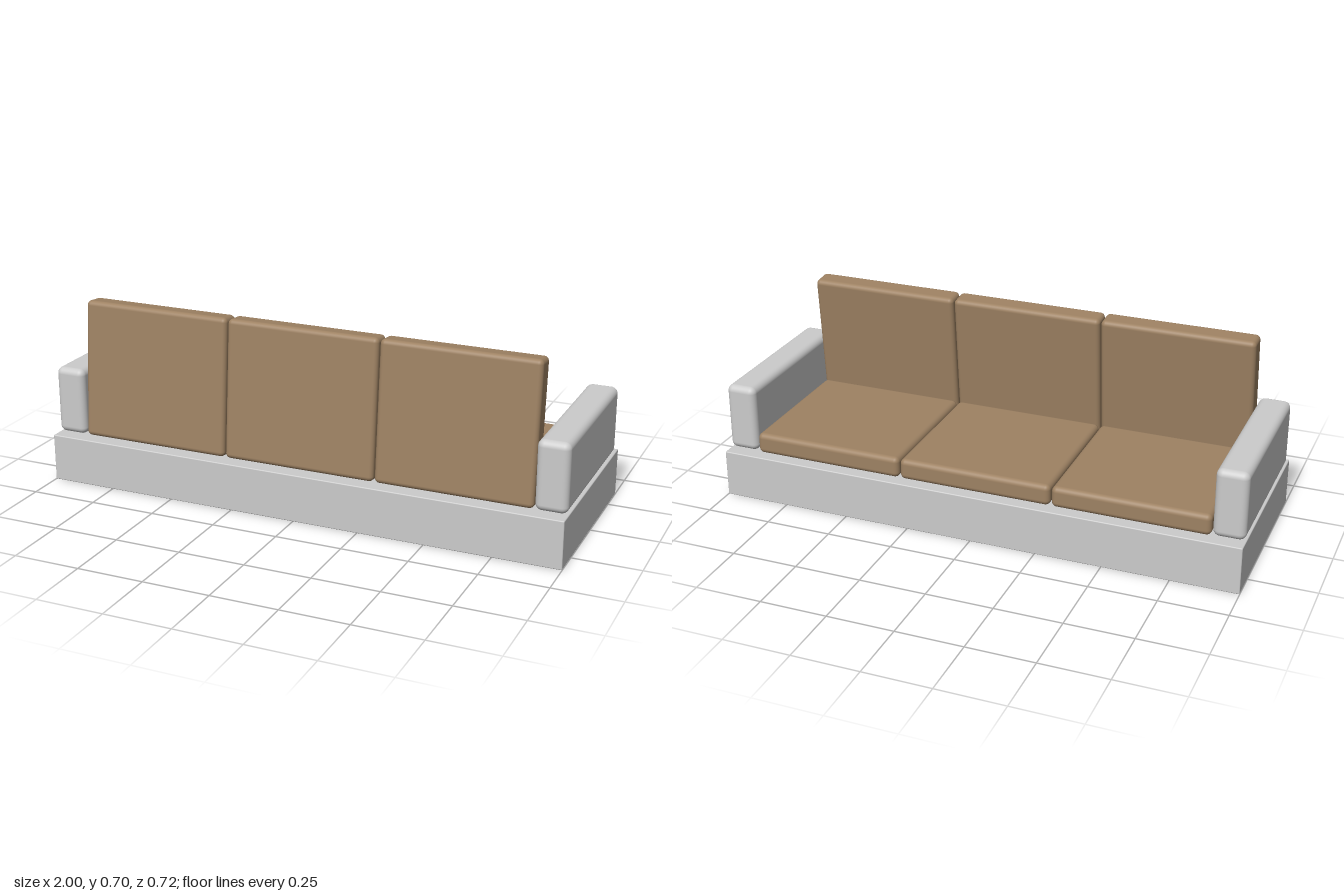
import * as THREE from 'three';
import { RoundedBoxGeometry } from 'three/addons/geometries/RoundedBoxGeometry.js';

export function createModel() {
  const sofa = new THREE.Group();
  sofa.name = 'sofa';
  const frameMaterial = new THREE.MeshStandardMaterial({ color: 0xcccccc });
  const cushionMaterial = new THREE.MeshStandardMaterial({ color: 0x9e8263 });

  // Adds a soft-edged box centred at (x, y, z)
  function addBlock(name, [w, h, d], radius, [x, y, z], material) {
    const mesh = new THREE.Mesh(new RoundedBoxGeometry(w, h, d, 5, radius), material);
    mesh.name = name;
    mesh.position.set(x, y, z);
    sofa.add(mesh);
    return mesh;
  }

  // Plinth
  addBlock('base', [2, 0.18, 0.72], 0.004, [0, 0.09, 0], frameMaterial);

  // Armrests, mirrored
  for (const [name, side] of [['leftArm', 1], ['rightArm', -1]]) {
    addBlock(name, [0.117, 0.257, 0.647], 0.025, [side * 0.9395, 0.3115, 0], frameMaterial);
  }

  // Three seat cushions, each with a back cushion leaning over the seat
  const pitch = 0.587;
  ['right', 'middle', 'left'].forEach((place, i) => {
    const x = (i - 1) * pitch;
    addBlock(place + 'SeatCushion', [0.582, 0.08, 0.56], 0.02, [x, 0.22, -0.043], cushionMaterial);
    const back = addBlock(place + 'BackCushion', [0.582, 0.52, 0.085], 0.018, [x, 0.44, 0.2555], cushionMaterial);
    back.rotation.x = -0.087;
  });

  return sofa;
}
